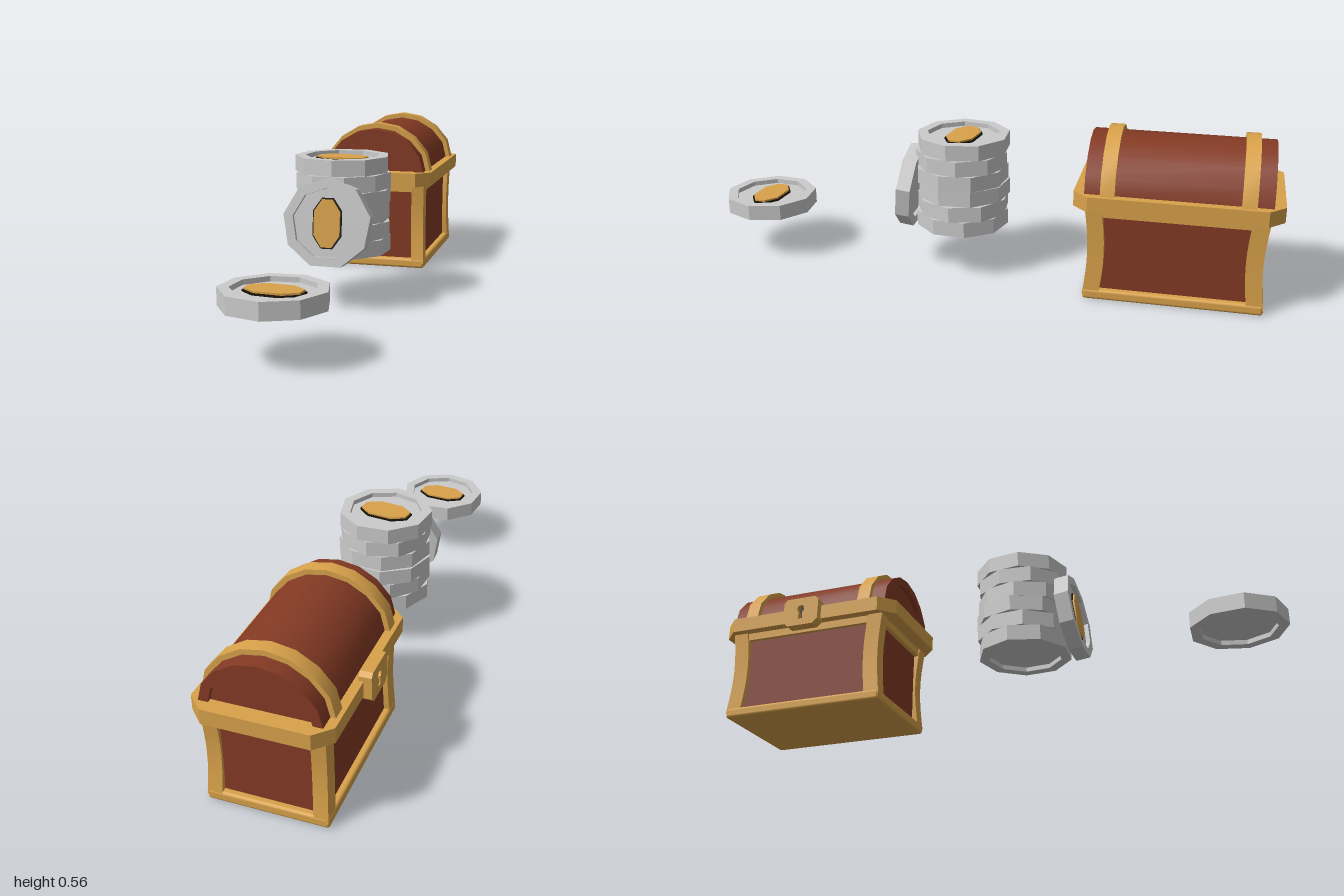
import * as THREE from 'three';
import { toCreasedNormals } from 'three/addons/utils/BufferGeometryUtils.js';
import { RoundedBoxGeometry } from 'three/addons/geometries/RoundedBoxGeometry.js';

const gold = new THREE.MeshStandardMaterial({ color: 0xd9a24a });
const wood = new THREE.MeshStandardMaterial({ color: 0x843a24 });
const dark = new THREE.MeshStandardMaterial({ color: 0x1a1208 });
const grey = new THREE.MeshStandardMaterial({ color: 0xcccccc, flatShading: true });

function add(parent, name, geometry, material, x = 0, y = 0, z = 0) {
  const mesh = new THREE.Mesh(geometry, material);
  mesh.name = name;
  mesh.position.set(x, y, z);
  parent.add(mesh);
  return mesh;
}

const shapeOf = (pts) => new THREE.Shape(pts.map(([x, y]) => new THREE.Vector2(x, y)));
const extrude = (shape, depth, bevel = 0) => toCreasedNormals(new THREE.ExtrudeGeometry(shape, {
  depth, bevelEnabled: bevel > 0, bevelThickness: bevel, bevelSize: bevel, bevelSegments: 1,
}), 0.6);

// Half profile of the domed lid, mirrored and scaled for each layer
const DOME = [[0.207, 0], [0.19, 0.069], [0.141, 0.128], [0.074, 0.168], [0, 0.181]];
function dome(sx, sy) {
  const right = DOME.map(([x, y]) => [x * sx, y * sy]);
  const left = right.slice(0, -1).reverse().map(([x, y]) => [-x, y]);
  return [...right, ...left];
}
const arch = (outer, inner) => shapeOf([...dome(...outer), ...dome(...inner).reverse()]);

function createChest() {
  const chest = new THREE.Group();
  chest.name = 'chest';
  const HX = 0.194, HZ = 0.298;

  // Body: base slab, recessed wood panels, top rail
  add(chest, 'base', new RoundedBoxGeometry(HX * 2 + 0.004, 0.036, HZ * 2, 2, 0.01), gold, 0, 0.019, 0);
  add(chest, 'bodyPanels', new THREE.BoxGeometry(HX * 2 - 0.04, 0.31, HZ * 2 - 0.045), wood, 0, 0.175, 0);
  add(chest, 'topRail', new THREE.BoxGeometry(HX * 2 - 0.012, 0.034, HZ * 2 - 0.012), gold, 0, 0.315, 0);

  // Corner posts, pinched in at mid height
  for (const sx of [-1, 1]) for (const sz of [-1, 1]) {
    const geo = new THREE.BoxGeometry(0.047, 0.31, 0.055, 1, 8, 1);
    const p = geo.attributes.position;
    for (let i = 0; i < p.count; i++) {
      const bend = Math.sin(Math.PI * (p.getY(i) / 0.31 + 0.5));
      p.setX(i, p.getX(i) - sx * 0.004 * bend);
      p.setZ(i, p.getZ(i) - sz * 0.013 * bend);
    }
    geo.computeVertexNormals();
    add(chest, 'cornerPost', toCreasedNormals(geo, 0.6), gold, sx * (HX - 0.0235), 0.175, sz * (HZ - 0.0275));
  }

  // Rim with clipped corners
  const rx = 0.22, rz = 0.34, c = 0.052;
  const rimShape = shapeOf([[rx, -rz + c], [rx, rz - c], [rx - c, rz], [c - rx, rz],
    [-rx, rz - c], [-rx, c - rz], [c - rx, -rz], [rx - c, -rz]]);
  const rim = extrude(rimShape, 0.052);
  rim.rotateX(-Math.PI / 2);
  add(chest, 'rim', rim, gold, 0, 0.325, 0);

  // Lid: outer shell, recessed end panels, gold bands
  const lidY = 0.375, lidScale = [0.92, 0.9], endScale = [0.77, 0.72];
  add(chest, 'lidShell', extrude(arch(lidScale, endScale), 0.604), wood, 0, lidY, -0.302);
  add(chest, 'lidEnds', extrude(shapeOf(dome(...endScale)), 0.574), wood, 0, lidY, -0.287);
  for (const s of [-1, 1]) {
    add(chest, 'lidBand', extrude(arch([1, 1], [0.9, 0.88]), 0.048), gold, 0, lidY, s * 0.225 - 0.024);
  }

  // Lock plate with keyhole, facing -x
  const plate = shapeOf([[-0.05, -0.053], [0.05, -0.053], [0.068, -0.035], [0.068, 0.04],
    [0.055, 0.053], [-0.055, 0.053], [-0.068, 0.04], [-0.068, -0.035]]);
  const hole = new THREE.Path();
  hole.absarc(0, 0.01, 0.014, -Math.PI / 3, Math.PI * 4 / 3, false);
  hole.lineTo(-0.009, -0.028);
  hole.lineTo(0.009, -0.028);
  plate.holes.push(hole);
  const lock = new THREE.Group();
  lock.name = 'lock';
  lock.rotation.y = -Math.PI / 2;
  lock.position.set(-0.205, 0.353, 0);
  add(lock, 'lockPlate', extrude(plate, 0.04), gold);
  add(lock, 'keyholeBack', new THREE.BoxGeometry(0.06, 0.08, 0.012), dark, 0, 0, 0.014);
  chest.add(lock);
  return chest;
}

// Nine-sided coin, recessed on both faces, with a plain raised inlay
const H = 0.027, DIP = 0.016, RO = 0.163, RI = 0.128;
const coinGeo = new THREE.LatheGeometry([
  [0, DIP - H], [RI, DIP - H], [RI, -H], [RO, -H], [RO, H], [RI, H], [RI, H - DIP], [0, H - DIP],
].map(([x, y]) => new THREE.Vector2(x, y)), 9, Math.PI);

function inlay(halfWidth, halfLength, depth) {
  const w = halfWidth, l = halfLength;
  const geo = extrude(shapeOf([[w, -l * 0.5], [w, l * 0.5], [w * 0.4, l], [-w * 0.4, l],
    [-w, l * 0.5], [-w, -l * 0.5], [-w * 0.4, -l], [w * 0.4, -l]]), depth);
  return geo.rotateX(-Math.PI / 2);
}
const inlayGeo = inlay(0.048, 0.086, 0.012);
const inlayEdgeGeo = inlay(0.053, 0.091, 0.006);

function createCoin(name, turn, withInlay = true) {
  const coin = new THREE.Group();
  coin.name = name;
  coin.rotation.y = turn;
  add(coin, 'coinBody', coinGeo, grey);
  if (withInlay) {
    add(coin, 'inlayEdge', inlayEdgeGeo, dark, 0, H - DIP, 0);
    add(coin, 'inlay', inlayGeo, gold, 0, H - DIP, 0);
  }
  return coin;
}

export function createModel() {
  const model = new THREE.Group();
  model.name = 'treasure';

  const chest = createChest();
  chest.position.set(0.01, 0, -0.66);
  model.add(chest);

  // Stack of six coins, each turned a little differently
  const stack = new THREE.Group();
  stack.name = 'coinStack';
  const turns = [0.1, 0.45, 0.9, 0.25, 0.62, -1.71];
  turns.forEach((turn, i) => {
    const coin = createCoin('stackedCoin', turn, i === turns.length - 1);
    coin.position.set(0.013 + 0.003 * Math.sin(i * 2.3), 0.193 + i * 0.0552, 0.098 + 0.003 * Math.cos(i * 1.9));
    stack.add(coin);
  });
  model.add(stack);

  // Coin leaning on the stack
  const leaning = new THREE.Group();
  leaning.name = 'leaningCoin';
  leaning.add(createCoin('coin', 0));
  leaning.rotation.x = Math.PI / 2 - 0.12;
  leaning.scale.setScalar(0.92);
  leaning.position.set(0.011, 0.292, 0.279);
  model.add(leaning);

  // Single coin lying in front
  const single = createCoin('singleCoin', -1.675);
  single.position.set(0.015, 0.189, 0.834);
  model.add(single);

  return model;
}
